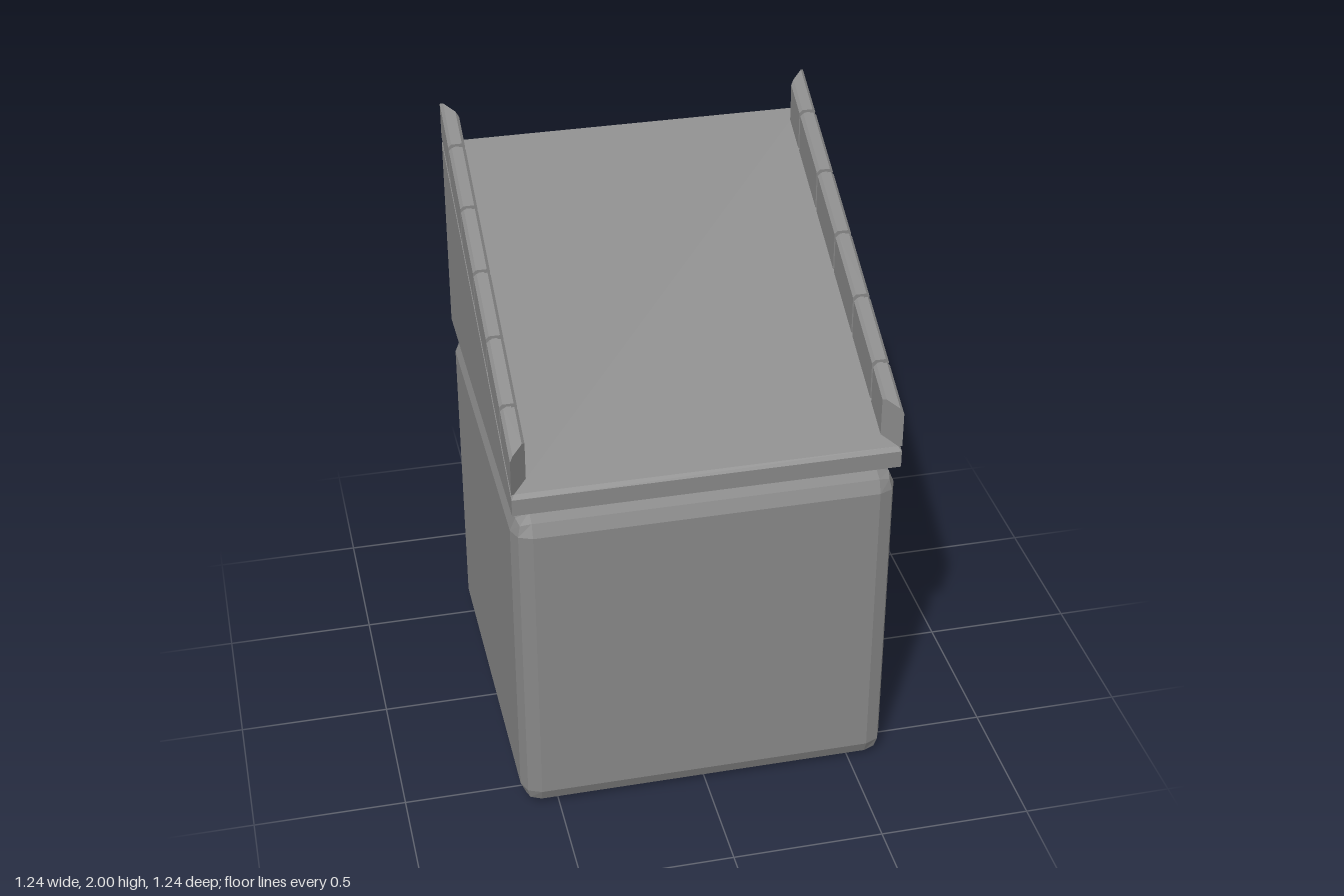
import * as THREE from 'three';
import { RoundedBoxGeometry } from 'three/addons/geometries/RoundedBoxGeometry.js';

const HALF = 0.62;
const rampY = (z) => 1.555 - 0.5 * z; // height of the sloping top

// Move every vertex of a geometry by a rule
function warp(geometry, rule) {
  const p = geometry.attributes.position;
  const v = new THREE.Vector3();
  for (let i = 0; i < p.count; i++) {
    rule(v.fromBufferAttribute(p, i));
    p.setXYZ(i, v.x, v.y, v.z);
  }
  geometry.computeVertexNormals();
  return geometry;
}

// Length of rail with chamfered edges, following the slope and mitred at the ends
function railPiece(side, z0, z1, inset) {
  const a = 0.565 + inset, b = HALF - inset, h = 0.138 - inset, c = 0.01;
  const points = [
    [a, -0.01], [b - c, -0.01], [b - c, 0], [b, c],
    [b, h - c], [b - c, h], [a + c, h], [a, h - c],
  ].map(([x, y]) => new THREE.Vector2(side * x, y));
  const geometry = new THREE.ExtrudeGeometry(new THREE.Shape(points), {
    depth: z1 - z0, steps: 1, bevelEnabled: false,
  });
  geometry.translate(0, 0, z0);
  return warp(geometry, (v) => {
    if (Math.abs(v.z) > HALF - 0.015) v.z -= Math.sign(v.z) * (HALF - Math.abs(v.x));
    v.y += rampY(v.z);
  });
}

export function createModel() {
  const model = new THREE.Group();
  const grey = new THREE.MeshStandardMaterial({ color: 0x888888, flatShading: true });
  grey.name = 'stone grey';
  const add = (parent, name, geometry) => {
    const mesh = new THREE.Mesh(geometry, grey);
    mesh.name = name;
    parent.add(mesh);
    return mesh;
  };

  // Block with two-facet rounded edges
  add(model, 'baseBlock', new RoundedBoxGeometry(2 * HALF, 1.145, 2 * HALF, 1, 0.062))
    .position.y = 0.5725;

  // Wedge with tapered underside and a fine chamfer round the slope
  const wedge = new THREE.BoxGeometry(2 * HALF, 3, 2 * HALF, 1, 3, 1);
  add(model, 'rampWedge', warp(wedge, (v) => {
    const level = Math.round(v.y + 1.5);
    const half = [0.56, HALF, HALF, HALF - 0.01][level];
    v.x = Math.sign(v.x) * half;
    v.z = Math.sign(v.z) * half;
    v.y = [1.14, 1.178, rampY(v.z) - 0.01, rampY(v.z)][level];
  }));

  // Side rails: six pieces each, with a recessed core showing in the joints
  const joints = [-HALF, -0.45, -0.225, 0, 0.225, 0.45, HALF];
  for (const side of [1, -1]) {
    const rail = new THREE.Group();
    rail.name = side > 0 ? 'leftRail' : 'rightRail';
    for (let i = 0; i < 6; i++) {
      const z0 = joints[i] + (i > 0 ? 0.006 : 0);
      const z1 = joints[i + 1] - (i < 5 ? 0.006 : 0);
      add(rail, 'railSegment', railPiece(side, z0, z1, 0));
    }
    add(rail, 'railCore', railPiece(side, -0.55, 0.55, 0.009));
    model.add(rail);
  }
  return model;
}
